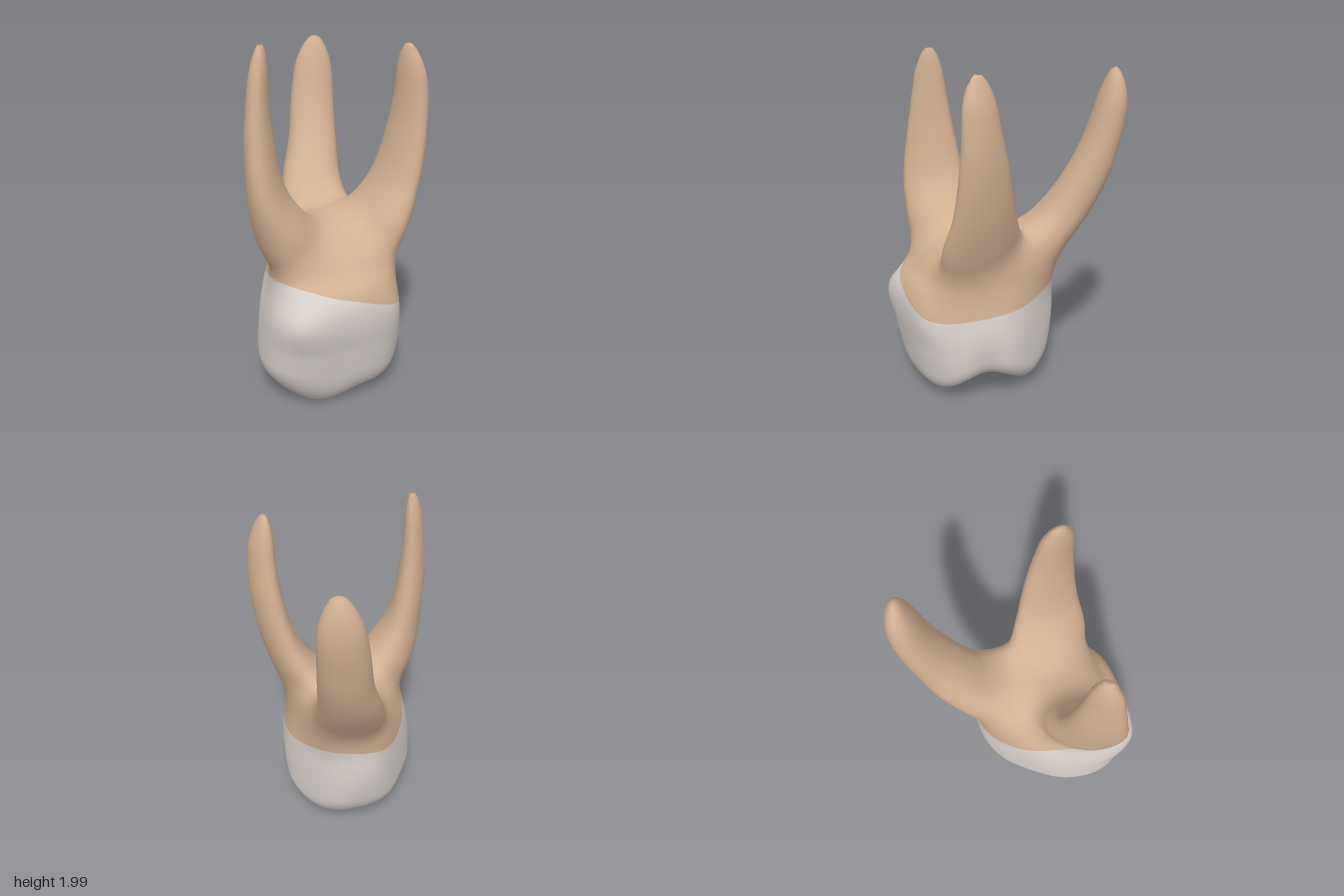
import * as THREE from 'three';

// Smooth union / intersection of two distances
const smin = (a, b, k) => {
  const h = Math.max(k - Math.abs(a - b), 0) / k;
  return Math.min(a, b) - h * h * k / 4;
};
const smax = (a, b, k) => -smin(-a, -b, k);

// Solid swept upward through horizontal oval sections [y, centreX, radiusX, centreZ, radiusZ],
// rounded off over the cap length at both ends
function sweep(rows, { power = 2, cap, shearX = 0, shearZ = 0 }) {
  const ys = rows.map(r => r[0]);
  const curve = new THREE.CubicInterpolant(ys, rows.flatMap(r => r.slice(1)), 4, new Float32Array(4));
  const lo = ys[0], hi = ys[ys.length - 1];
  return (x, y, z) => {
    const [cx, rx, cz, rz] = curve.evaluate(Math.min(hi, Math.max(lo, y)));
    const u = Math.abs(x - cx - shearX * (z - cz)) / rx;
    const v = Math.abs(z - cz - shearZ * (x - cx)) / rz;
    const w = Math.max(lo + cap - y, y - hi + cap, 0) / cap;
    const q = Math.pow(u ** power + v ** power + w ** power, 1 / power);
    return (q - 1) * Math.min(rx, rz);
  };
}

// Crown and neck
const body = sweep([
  [-0.25, -0.05, 0.30, 0.21, 0.30],
  [0.00, -0.05, 0.35, 0.20, 0.365],
  [0.15, -0.045, 0.415, 0.165, 0.425],
  [0.35, -0.035, 0.425, 0.16, 0.475],
  [0.55, -0.035, 0.395, 0.185, 0.51],
  [0.68, -0.03, 0.355, 0.15, 0.455],
  [0.76, -0.02, 0.32, 0.12, 0.40],
  [0.84, -0.01, 0.285, 0.105, 0.36],
  [0.92, 0.0, 0.25, 0.095, 0.32],
  [0.985, 0.0, 0.22, 0.08, 0.29],
], { power: 2.7, cap: 0.24, shearZ: -0.18 });

// Flattened sides of the crown: [normalX, normalZ, offset, softness]
const facets = [
  [0.707, -0.707, 0.28, 0.14],
  [-0.89, -0.457, 0.36, 0.08],
  [0.32, 0.947, 0.605, 0.08],
];

// Three roots: front right, front left and back, each starting deep inside the crown
const roots = [
  sweep([
    [0.35, -0.10, 0.11, 0.21, 0.15],
    [0.70, -0.19, 0.165, 0.275, 0.22],
    [0.95, -0.295, 0.175, 0.31, 0.23],
    [1.20, -0.405, 0.11, 0.36, 0.19],
    [1.50, -0.445, 0.08, 0.37, 0.14],
    [1.80, -0.442, 0.056, 0.37, 0.092],
    [2.00, -0.425, 0.045, 0.365, 0.065],
  ], { cap: 0.2, shearX: -0.2 }),
  sweep([
    [0.35, 0.06, 0.11, 0.16, 0.15],
    [0.70, 0.15, 0.14, 0.165, 0.21],
    [0.95, 0.24, 0.15, 0.16, 0.235],
    [1.20, 0.36, 0.105, 0.16, 0.18],
    [1.50, 0.425, 0.085, 0.17, 0.135],
    [1.75, 0.435, 0.07, 0.19, 0.102],
    [1.965, 0.41, 0.05, 0.2, 0.08],
  ], { cap: 0.2, shearX: 0.3 }),
  sweep([
    [0.35, -0.04, 0.13, 0.08, 0.13],
    [0.70, -0.04, 0.20, -0.09, 0.185],
    [0.90, -0.03, 0.21, -0.225, 0.19],
    [1.10, -0.015, 0.178, -0.39, 0.155],
    [1.30, 0.015, 0.152, -0.50, 0.13],
    [1.50, 0.03, 0.14, -0.575, 0.107],
    [1.65, 0.042, 0.13, -0.612, 0.094],
    [1.80, 0.052, 0.112, -0.632, 0.077],
    [1.925, 0.06, 0.09, -0.635, 0.058],
  ], { power: 2.15, cap: 0.25 }),
];

// Chewing surface: cusps [x, z, depth, stretch along x] hanging below a shallow basin
const cusps = [
  [-0.15, 0.48, 0.2, 0.85],
  [0.26, 0.42, 0.155, 0.7],
  [-0.36, 0.28, 0.11, 1],
  [0.0, -0.10, 0.21, 0.55],
];
const biteHeight = (x, z) => cusps.reduce((h, [cx, cz, depth, sx]) =>
  h - depth * Math.exp(-(((x - cx) * sx) ** 2 + (z - cz) ** 2) / 0.04), 0.23);

// Soft groove running up the left face of the crown
function groove(x, y, z) {
  if (x < 0.1) return 0;
  return 0.04 * Math.exp(-(((y - 0.2) / 0.2) ** 2) - ((z - 0.13) / 0.11) ** 2) * Math.min(1, (x - 0.1) * 6);
}

function tooth(x, y, z) {
  let d = body(x, y, z) + groove(x, y, z);
  for (const [nx, nz, offset, soft] of facets) d = smax(d, nx * x + nz * z - offset, soft);
  d = smax(d, (biteHeight(x, z) - y) * 0.7, 0.07);
  for (const root of roots) d = smin(d, root(x, y, z), 0.13);
  return d;
}

// Height of the edge between crown and roots, every 45 degrees from the left side round the front
const edge = new THREE.CubicInterpolant(
  [0, 1, 2, 3, 4, 5, 6, 7, 8],
  [0.565, 0.55, 0.65, 0.735, 0.67, 0.605, 0.665, 0.60, 0.565], 1, new Float32Array(1));
function edgeHeight(x, z) {
  const turn = Math.atan2(z - 0.15, x) / (Math.PI / 4);
  return edge.evaluate(turn < 0 ? turn + 8 : turn)[0];
}

// Settle a point onto the surface and note its normal and its height above the edge
function surfacePoint(p) {
  const e = 0.004, n = new THREE.Vector3();
  const slope = () => n.set(
    tooth(p.x + e, p.y, p.z) - tooth(p.x - e, p.y, p.z),
    tooth(p.x, p.y + e, p.z) - tooth(p.x, p.y - e, p.z),
    tooth(p.x, p.y, p.z + e) - tooth(p.x, p.y, p.z - e)).divideScalar(2 * e);
  for (let i = 0; i < 2; i++) {
    const length = Math.max(slope().length(), 0.2);
    const move = THREE.MathUtils.clamp(-tooth(p.x, p.y, p.z) / length, -0.01, 0.01);
    p.addScaledVector(n, move / length);
  }
  slope().normalize();
  return { p, n, s: p.y - edgeHeight(p.x, p.z) };
}

// Skin the solid with quads on a grid; returns triangles of surface points
function skin() {
  const step = 0.025, min = [-0.65, -0.1, -0.85], size = [53, 89, 69];
  const stride = [1, size[0], size[0] * size[1]];
  const field = new Float32Array(size[0] * size[1] * size[2]).fill(1);
  const each = (from, visit) => {
    for (let k = from; k < size[2] - 1; k++)
      for (let j = from; j < size[1] - 1; j++)
        for (let i = from; i < size[0] - 1; i++) visit([i, j, k], i + j * stride[1] + k * stride[2]);
  };
  const at = (c, a) => min[a] + c[a] * step;
  each(0, (c, id) => { field[id] = tooth(at(c, 0), at(c, 1), at(c, 2)); });

  const points = new Map();
  each(0, (c, id) => {
    const sum = new THREE.Vector3();
    let count = 0;
    for (let corner = 0; corner < 8; corner++) {
      const bits = [corner & 1, (corner >> 1) & 1, corner >> 2];
      const a = id + bits[0] + bits[1] * stride[1] + bits[2] * stride[2];
      for (let axis = 0; axis < 3; axis++) {
        if (bits[axis]) continue;
        const f0 = field[a], f1 = field[a + stride[axis]];
        if ((f0 < 0) === (f1 < 0)) continue;
        const q = [...bits];
        q[axis] = f0 / (f0 - f1);
        sum.add(new THREE.Vector3(...q));
        count++;
      }
    }
    if (!count) return;
    sum.multiplyScalar(step / count).add(new THREE.Vector3(at(c, 0), at(c, 1), at(c, 2)));
    points.set(id, surfacePoint(sum));
  });

  const triangles = [];
  each(1, (c, id) => {
    for (let axis = 0; axis < 3; axis++) {
      const inside = field[id] < 0;
      if (inside === (field[id + stride[axis]] < 0)) continue;
      const b = stride[(axis + 1) % 3], d = stride[(axis + 2) % 3];
      const quad = [id - b - d, id - d, id, id - b].map(i => points.get(i));
      if (!inside) quad.reverse();
      triangles.push([quad[0], quad[1], quad[2]], [quad[0], quad[2], quad[3]]);
    }
  });
  return triangles;
}

// Keep the part of the skin above (side 1) or below (side -1) the crown edge
function cutGeometry(triangles, side) {
  const positions = [], normals = [];
  for (const tri of triangles) {
    const kept = [];
    tri.forEach((a, i) => {
      const b = tri[(i + 1) % 3];
      if (a.s * side >= 0) kept.push(a);
      if (a.s * b.s < 0) {
        const t = a.s / (a.s - b.s);
        kept.push({ p: a.p.clone().lerp(b.p, t), n: a.n.clone().lerp(b.n, t).normalize() });
      }
    });
    for (let i = 1; i + 1 < kept.length; i++)
      for (const v of [kept[0], kept[i], kept[i + 1]]) {
        positions.push(...v.p);
        normals.push(...v.n);
      }
  }
  const geometry = new THREE.BufferGeometry();
  geometry.setAttribute('position', new THREE.Float32BufferAttribute(positions, 3));
  geometry.setAttribute('normal', new THREE.Float32BufferAttribute(normals, 3));
  return geometry;
}

export function createModel() {
  const group = new THREE.Group();
  group.name = 'molar';
  const triangles = skin();
  const parts = [['crown', 'enamel', 0xd8d0cb, -1], ['roots', 'dentine', 0xd2b091, 1]];
  for (const [name, materialName, color, side] of parts) {
    const material = new THREE.MeshStandardMaterial({ color });
    material.name = materialName;
    const mesh = new THREE.Mesh(cutGeometry(triangles, side), material);
    mesh.name = name;
    group.add(mesh);
  }
  return group;
}
